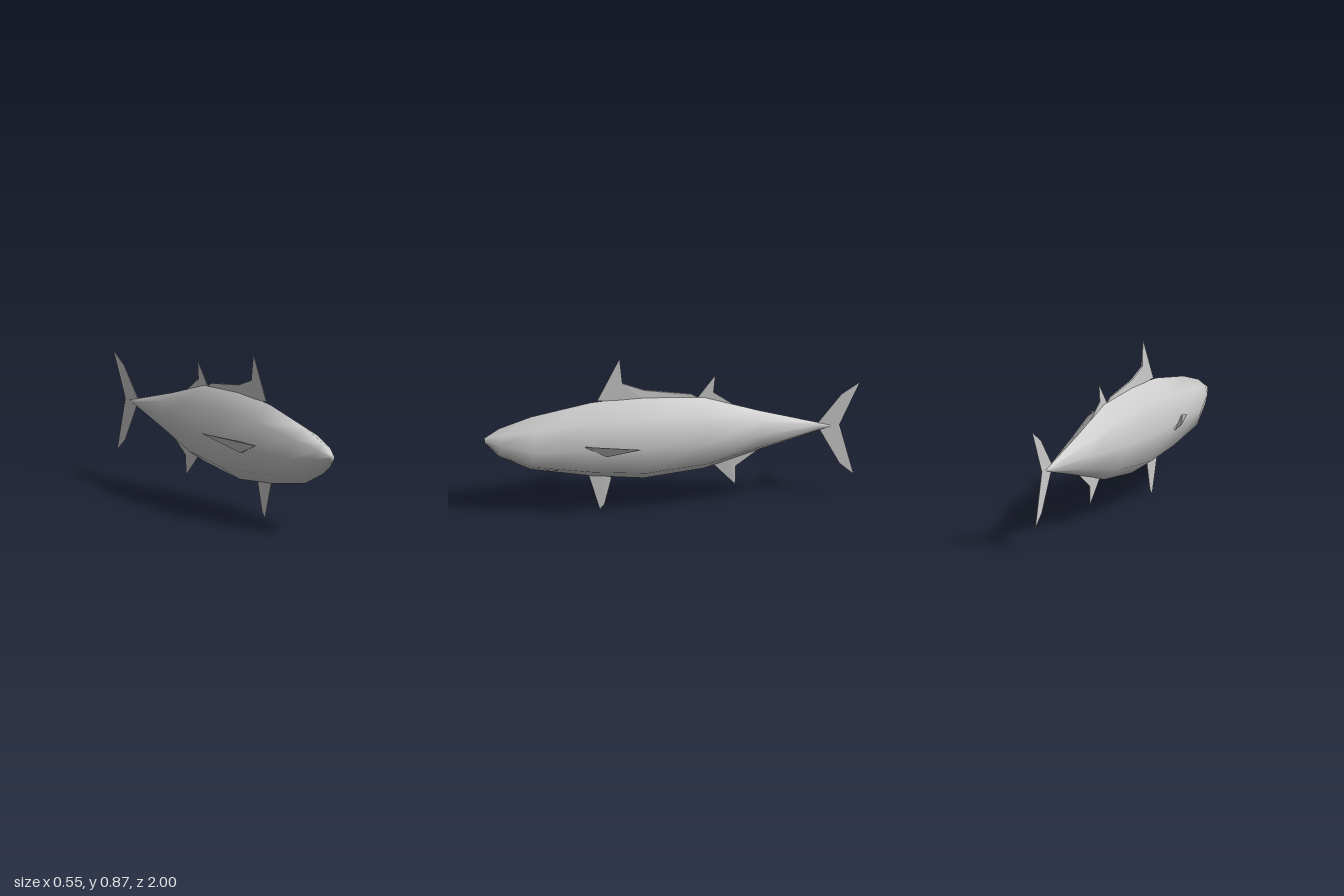
import * as THREE from 'three';

const material = new THREE.MeshStandardMaterial({ color: 0xcccccc });
const finMaterial = new THREE.MeshStandardMaterial({ color: 0xcccccc, side: THREE.DoubleSide });

// Body: eight-sided cross-sections [z, top, middle, bottom, half width], nose to tail
const SECTIONS = [
  [1.0, 0.447, 0.435, 0.42, 0.016],
  [0.92, 0.498, 0.42, 0.335, 0.055],
  [0.75, 0.557, 0.396, 0.252, 0.109],
  [0.43, 0.623, 0.396, 0.197, 0.137],
  [0.15, 0.645, 0.4, 0.17, 0.15],
  [-0.17, 0.622, 0.405, 0.21, 0.127],
  [-0.46, 0.53, 0.415, 0.303, 0.072],
  [-0.78, 0.442, 0.422, 0.398, 0.014],
  [-0.85, 0.424, 0.422, 0.42, 0.002],
];
// Unit ring as [x, y]; top and bottom points are doubled so the ridges can be sharp
const HALF = [[0, 1], [0.76, 0.66], [1, 0], [0.76, -0.66], [0, -1]];
const RING = [...HALF, ...HALF.map(([x, y]) => [-x, y]).reverse()];

function bodyGeometry() {
  const pos = [], index = [], n = RING.length, last = SECTIONS.length - 1;
  for (const [z, top, mid, bottom, w] of SECTIONS) {
    for (const [x, y] of RING) pos.push(x * w, mid + y * (y > 0 ? top - mid : mid - bottom), z);
  }
  for (let s = 0; s < last; s++) {
    for (let i = 0; i < n - 1; i++) {
      if (i === HALF.length - 1) continue;
      const a = s * n + i, b = a + 1;
      index.push(a, b, a + n, b, b + n, a + n);
    }
  }
  // Close the nose and the tail
  for (let i = 1; i < n - 2; i++) {
    if (i === HALF.length - 1) continue;
    index.push(0, i + 1, i, last * n, last * n + i, last * n + i + 1);
  }
  const g = new THREE.BufferGeometry();
  g.setAttribute('position', new THREE.Float32BufferAttribute(pos, 3));
  g.setIndex(index);
  g.computeVertexNormals();
  // Smooth the ridges on the head, ahead of the fins
  const normal = g.attributes.normal, v = new THREE.Vector3();
  for (let i = 0; i < normal.count; i++) {
    if (RING[i % n][0] !== 0 || SECTIONS[Math.floor(i / n)][0] < 0.5) continue;
    v.fromBufferAttribute(normal, i).setX(0).normalize();
    normal.setXYZ(i, v.x, v.y, v.z);
  }
  return g;
}

// Fin: an outline of [x, y, z, half thickness], thickened along dir (which leans to -x)
function fin(name, outline, dir) {
  const pts = outline.slice();
  const flat = pts.map((p) => new THREE.Vector2(p[2], p[1]));
  if (THREE.ShapeUtils.isClockWise(flat)) {
    pts.reverse();
    flat.reverse();
  }
  const n = pts.length, pos = [], index = [];
  for (const side of [1, -1]) {
    for (const [x, y, z, t] of pts) {
      pos.push(x + side * t * dir[0], y + side * t * dir[1], z + side * t * dir[2]);
    }
  }
  for (const [a, b, c] of THREE.ShapeUtils.triangulateShape(flat, [])) {
    index.push(a, b, c, n + a, n + c, n + b);
  }
  for (let i = 0; i < n; i++) {
    const j = (i + 1) % n;
    index.push(i, n + i, j, j, n + i, n + j);
  }
  let g = new THREE.BufferGeometry();
  g.setAttribute('position', new THREE.Float32BufferAttribute(pos, 3));
  g.setIndex(index);
  g = g.toNonIndexed();
  g.computeVertexNormals();
  const mesh = new THREE.Mesh(g, finMaterial);
  mesh.name = name;
  return mesh;
}

// Fins on the centre line, as [z, y, half thickness]; leading edges are thin
const MEDIAN_FINS = {
  dorsalFin: [[0.4, 0.63, 0.001], [0.28, 0.87, 0.0005], [0.265, 0.725, 0.004], [0.15, 0.68, 0.005],
    [-0.1, 0.645, 0.003], [-0.16, 0.61, 0.002], [0.15, 0.63, 0.009]],
  secondDorsalFin: [[-0.13, 0.615, 0.001], [-0.23, 0.748, 0.0005], [-0.22, 0.648, 0.002],
    [-0.34, 0.562, 0.001], [-0.25, 0.57, 0.005]],
  analFin: [[-0.22, 0.23, 0.001], [-0.335, 0.108, 0.0005], [-0.338, 0.215, 0.002],
    [-0.46, 0.305, 0.001], [-0.3, 0.27, 0.005]],
  pelvicFin: [[0.445, 0.205, 0.001], [0.385, 0, 0.0005], [0.36, 0.03, 0.001], [0.323, 0.18, 0.003],
    [0.36, 0.22, 0.005]],
  tailFin: [[-0.77, 0.435, 0.002], [-0.9, 0.6, 0.001], [-1, 0.667, 0.0005], [-0.89, 0.425, 0.001],
    [-0.965, 0.133, 0.0005], [-0.89, 0.2, 0.001], [-0.785, 0.4, 0.002]],
};

// Left side fin
const PECTORAL = [[0.13, 0.425, 0.48, 0.001], [0.185, 0.445, 0.43, 0.001],
  [0.275, 0.46, 0.195, 0.0005], [0.148, 0.37, 0.365, 0.001], [0.125, 0.375, 0.38, 0.001]];

export function createModel() {
  const fish = new THREE.Group();
  fish.name = 'fish';

  const body = new THREE.Mesh(bodyGeometry(), material);
  body.name = 'body';
  fish.add(body);

  for (const [name, outline] of Object.entries(MEDIAN_FINS)) {
    fish.add(fin(name, outline.map(([z, y, t]) => [0, y, z, t]), [-1, 0, 0]));
  }

  // Pair of side fins, mirrored across the centre line
  fish.add(fin('leftPectoralFin', PECTORAL, [-0.57, 0.7, -0.43]));
  fish.add(fin('rightPectoralFin', PECTORAL.map(([x, y, z, t]) => [-x, y, z, t]), [-0.57, -0.7, 0.43]));

  return fish;
}
